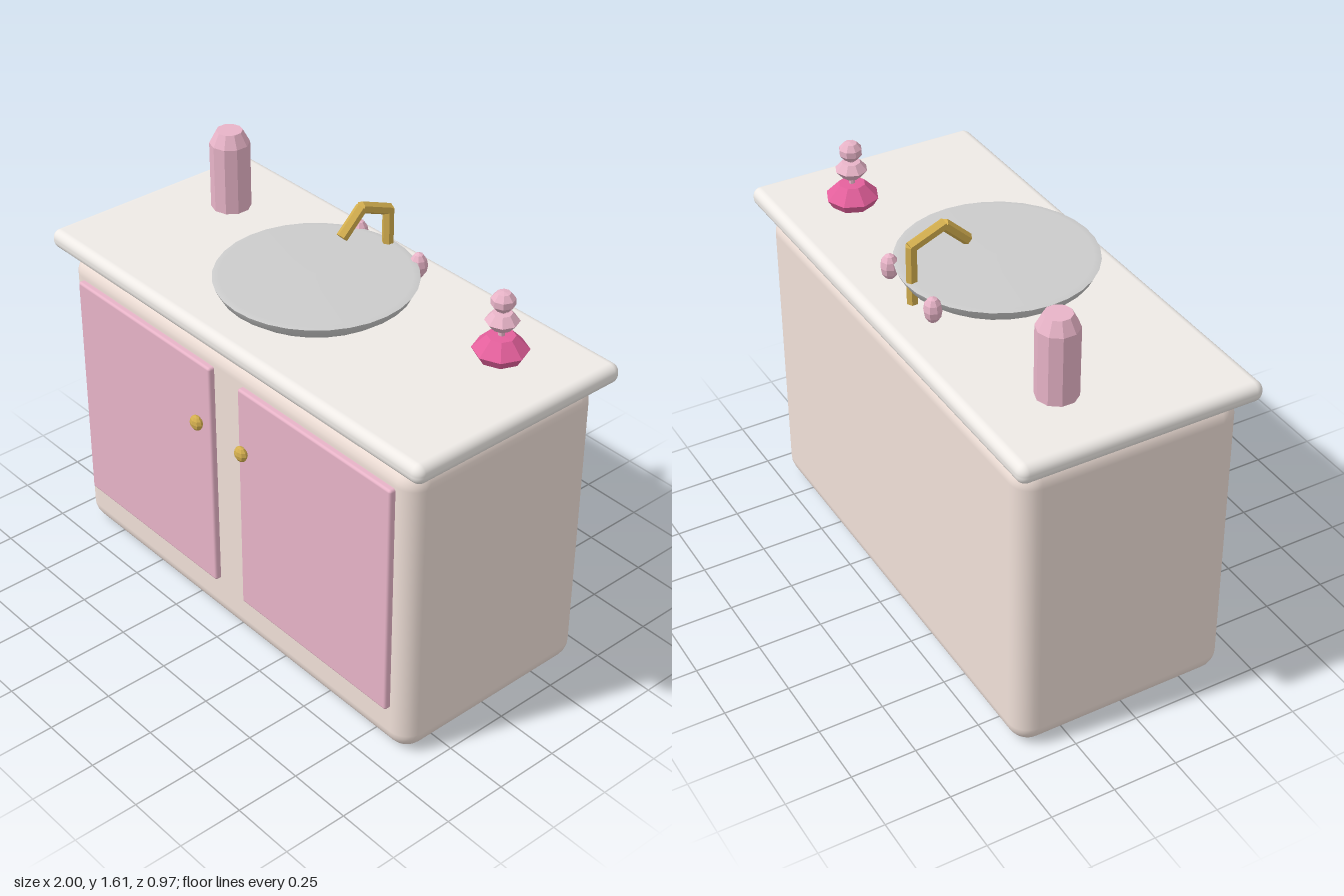
import * as THREE from 'three';
import { RoundedBoxGeometry } from 'three/addons/geometries/RoundedBoxGeometry.js';

const material = (color, flatShading = false) => new THREE.MeshStandardMaterial({ color, flatShading });

export function createModel() {
  const model = new THREE.Group();
  model.name = 'vanity';

  const body = material(0xf0e0d8);
  const stone = material(0xeeeae6);
  const basin = material(0xeeeeec);
  const doorPink = material(0xe8b4c8);
  const palePink = material(0xe8b4c8, true);
  const deepPink = material(0xe4609c, true);
  const gold = material(0xd4af4f, true);

  function add(name, geometry, mat, x, y, z, parent = model) {
    const mesh = new THREE.Mesh(geometry, mat);
    mesh.name = name;
    mesh.position.set(x, y, z);
    parent.add(mesh);
    return mesh;
  }
  // Turned shape from [radius, height] pairs, listed bottom to top
  const turned = (profile, sides) =>
    new THREE.LatheGeometry(profile.map(([r, y]) => new THREE.Vector2(r, y)), sides);

  // Cabinet and countertop
  add('cabinet', new RoundedBoxGeometry(1.88, 1.218, 0.857, 4, 0.08), body, 0, 0.609, -0.016);
  add('countertop', new RoundedBoxGeometry(2, 0.075, 0.933, 4, 0.034), stone, 0, 1.26, -0.0165);

  // Doors, knobs and tap handles, mirrored
  for (const [side, s] of [['left', 1], ['right', -1]]) {
    add(side + 'Door', new RoundedBoxGeometry(0.78, 0.943, 0.05, 2, 0.01), doorPink, s * 0.467, 0.659, 0.411);
    const knob = add(side + 'Knob', new THREE.SphereGeometry(0.03, 8, 6), gold, s * 0.125, 0.893, 0.463);
    knob.scale.z = 0.67;
    const handle = add(side + 'TapHandle', new THREE.SphereGeometry(0.034, 8, 6), palePink, s * 0.157, 1.36, -0.332);
    handle.scale.y = 1.47;
  }

  // Shallow basin: smooth underside, crisp rim, nearly flat top
  const sink = new THREE.Group();
  sink.name = 'sink';
  sink.position.set(0, 0, 0.01);
  model.add(sink);
  add('sinkBowl', turned([[0, 1.299], [0.21, 1.301], [0.31, 1.32], [0.347, 1.348], [0.365, 1.383]], 32), basin, 0, 0, 0, sink);
  add('sinkTop', turned([[0.365, 1.383], [0.34, 1.388], [0, 1.389]], 32), basin, 0, 0, 0, sink);

  // Faucet: hexagonal bars joined end to end
  const faucet = new THREE.Group();
  faucet.name = 'faucet';
  model.add(faucet);
  const path = [[1.29, -0.327], [1.522, -0.327], [1.574, -0.2], [1.487, -0.108]]
    .map(([y, z]) => new THREE.Vector3(0, y, z));
  const up = new THREE.Vector3(0, 1, 0);
  for (let i = 0; i < path.length - 1; i++) {
    const dir = path[i + 1].clone().sub(path[i]);
    const extra = i < path.length - 2 ? 0.01 : 0;
    const mid = path[i].clone().add(path[i + 1]).multiplyScalar(0.5);
    const bar = add('faucetBar', new THREE.CylinderGeometry(0.022, 0.022, dir.length() + extra, 6), gold, mid.x, mid.y, mid.z, faucet);
    bar.quaternion.setFromUnitVectors(up, dir.normalize());
  }

  // Bottle with chamfered shoulder
  add('bottle', turned([[0, 0], [0.076, 0], [0.076, 0.265], [0.05, 0.314], [0, 0.314]], 10), palePink, -0.704, 1.297, -0.174);

  // Stacked ornament
  const ornament = new THREE.Group();
  ornament.name = 'ornament';
  ornament.position.set(0.7, 0, -0.203);
  model.add(ornament);
  add('ornamentBase', turned([[0, 1.297], [0.08, 1.299], [0.1, 1.332], [0.05, 1.383], [0, 1.385]], 8), deepPink, 0, 0, 0, ornament);
  add('ornamentMiddle', turned([[0, 1.41], [0.035, 1.412], [0.061, 1.442], [0.035, 1.472], [0, 1.474]], 8), palePink, 0, 0, 0, ornament);
  add('ornamentTop', turned([[0, 1.48], [0.025, 1.484], [0.043, 1.505], [0.043, 1.528], [0.025, 1.549], [0, 1.553]], 8), palePink, 0, 0, 0, ornament);
  add('ornamentStem', new THREE.CylinderGeometry(0.012, 0.012, 0.12, 8), palePink, 0, 1.435, 0, ornament);

  return model;
}
